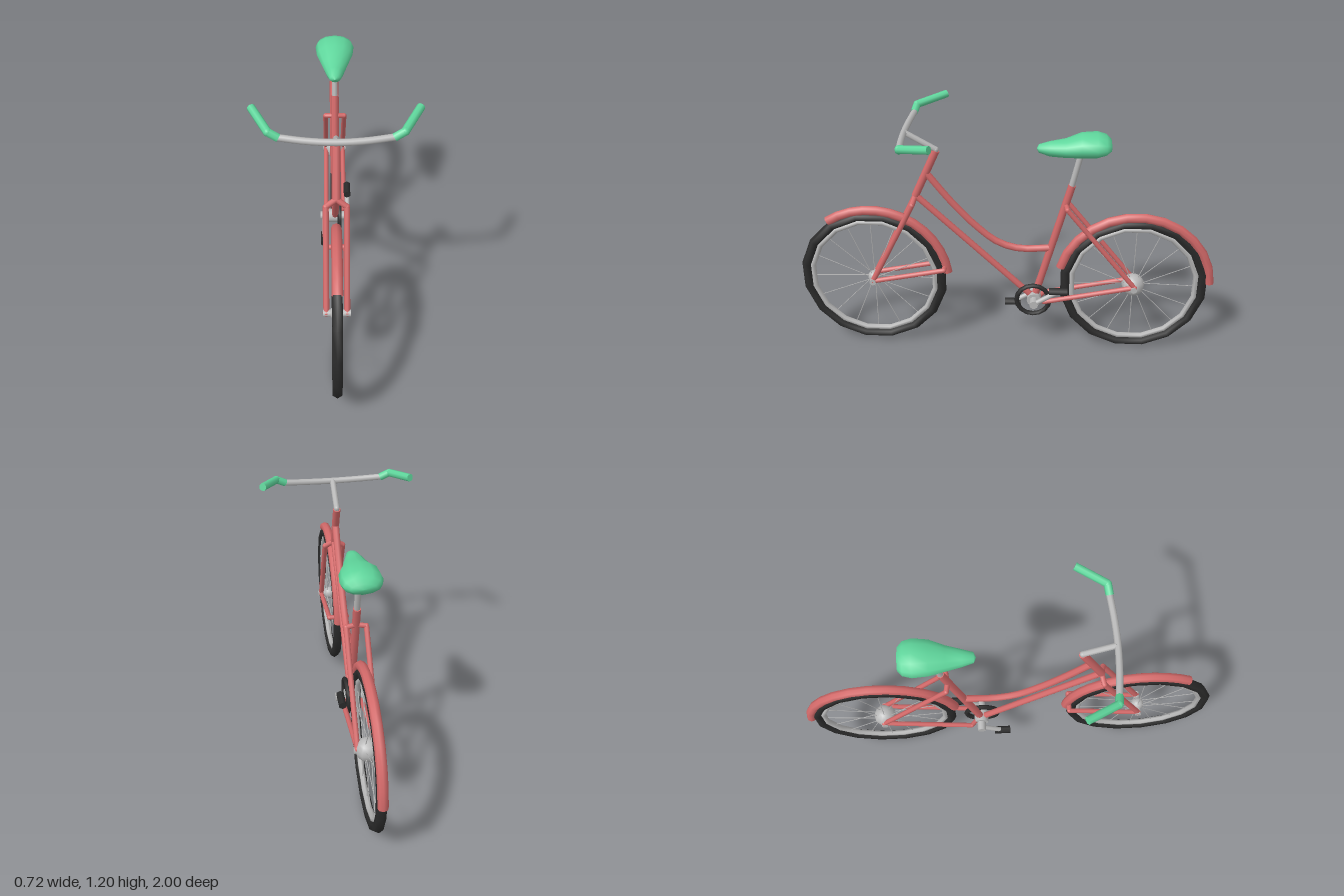
import * as THREE from 'three';

const mat = (name, color, side = THREE.FrontSide) => {
  const m = new THREE.MeshStandardMaterial({ color, side });
  m.name = name;
  return m;
};
const red = mat('frame red', 0xd46a6a, THREE.DoubleSide);
const green = mat('saddle green', 0x5fd69c);
const grey = mat('metal grey', 0xb9b9b9);
const black = mat('rubber black', 0x2b2b2b);

const v = (x, y, z) => new THREE.Vector3(x, y, z);

function add(parent, name, geometry, material) {
  const mesh = new THREE.Mesh(geometry, material);
  mesh.name = name;
  parent.add(mesh);
  return mesh;
}

// Straight round bar between two points
function rod(parent, name, a, b, r, material, sides = 8, rEnd = r) {
  const mesh = add(parent, name, new THREE.CylinderGeometry(rEnd, r, a.distanceTo(b), sides), material);
  mesh.position.copy(a).add(b).multiplyScalar(0.5);
  mesh.quaternion.setFromUnitVectors(v(0, 1, 0), b.clone().sub(a).normalize());
  return mesh;
}

function ball(parent, name, p, r, material) {
  const mesh = add(parent, name, new THREE.SphereGeometry(r, 10, 8), material);
  mesh.position.copy(p);
  return mesh;
}

// Bars through several points, with rounded corners
function bentRod(parent, name, points, r, material) {
  for (let i = 1; i < points.length; i++) {
    rod(parent, name, points[i - 1], points[i], r, material);
    if (i < points.length - 1) ball(parent, name + 'Bend', points[i], r, material);
  }
}

// Smoothly curved bar
function curvedRod(parent, name, points, r, material) {
  return add(parent, name, new THREE.TubeGeometry(new THREE.CatmullRomCurve3(points), 14, r, 8), material);
}

// Wheel with tyre, rim, spokes, hub and mudguard; angles run from the rear upwards
function wheel(name, y, z, hubRadius, guardStart, guardEnd) {
  const g = new THREE.Group();
  g.name = name;
  g.position.set(0, y, z);
  g.rotation.y = Math.PI / 2;
  const n = 16;
  add(g, 'tyre', new THREE.TorusGeometry(0.334, 0.024, 6, n), black).rotation.z = Math.PI / n;
  add(g, 'rim', new THREE.TorusGeometry(0.304, 0.014, 6, n), grey).rotation.z = Math.PI / n;
  for (let i = 0; i < n; i++) {
    const a = (i / n) * Math.PI * 2;
    rod(g, 'spoke', v(0, 0, i % 2 ? 0.015 : -0.015), v(Math.cos(a) * 0.3, Math.sin(a) * 0.3, 0), 0.002, grey, 4);
  }
  ball(g, 'hub', v(0, 0, 0), hubRadius, grey);
  rod(g, 'axle', v(0, 0, -0.06), v(0, 0, 0.06), 0.016, grey);
  const start = THREE.MathUtils.degToRad(guardStart);
  const arc = THREE.MathUtils.degToRad(guardEnd) - start;
  add(g, 'mudguard', new THREE.TorusGeometry(0.363, 0.023, 8, 12, arc), red).rotation.z = start;
  return g;
}

// Saddle lofted from oval sections: z, half width, bottom, top
function saddleGeometry() {
  const sections = [
    [-0.14, 0, 1.07, 1.07], [-0.15, 0.025, 1.052, 1.088], [-0.2, 0.04, 1.035, 1.103],
    [-0.27, 0.06, 1.033, 1.115], [-0.34, 0.084, 1.036, 1.142], [-0.41, 0.091, 1.04, 1.147],
    [-0.45, 0.08, 1.052, 1.135], [-0.472, 0.055, 1.07, 1.115], [-0.476, 0, 1.09, 1.09],
  ];
  const n = 12, pos = [], idx = [];
  sections.forEach(([z, w, lo, hi], s) => {
    for (let i = 0; i < n; i++) {
      const a = (i / n) * Math.PI * 2;
      pos.push(Math.cos(a) * w, (lo + hi) / 2 + Math.sin(a) * (hi - lo) / 2, z);
      if (s === sections.length - 1) continue;
      const p = s * n + i, q = s * n + (i + 1) % n;
      idx.push(p, p + n, q, q, p + n, q + n);
    }
  });
  const g = new THREE.BufferGeometry();
  g.setAttribute('position', new THREE.Float32BufferAttribute(pos, 3));
  g.setIndex(idx);
  g.computeVertexNormals();
  return g;
}

export function createModel() {
  const bike = new THREE.Group();
  bike.name = 'bicycle';

  bike.add(wheel('frontWheel', 0.375, 0.643, 0.032, 6, 124));
  bike.add(wheel('rearWheel', 0.367, -0.618, 0.055, 3, 166));

  // Main frame
  const bottom = v(0, 0.278, -0.14);
  const crown = v(0, 0.82, 0.42);
  rod(bike, 'headTube', crown, v(0, 1.05, 0.315), 0.018, red);
  rod(bike, 'downTube', v(0, 0.82, 0.415), bottom, 0.016, red);
  rod(bike, 'seatTube', bottom, v(0, 0.89, -0.305), 0.018, red);
  curvedRod(bike, 'topTube', [
    v(0, 0.94, 0.365), v(0, 0.79, 0.25), v(0, 0.67, 0.14),
    v(0, 0.585, 0.035), v(0, 0.553, -0.07), v(0, 0.56, -0.21),
  ], 0.017, red);

  // Fork, mudguard stays, seat stays and chain stays on both sides
  for (const s of [-1, 1]) {
    const x = s * 0.045;
    const frontAxle = v(x, 0.375, 0.643);
    const rearAxle = v(x, 0.375, -0.62);
    bentRod(bike, 'forkBlade', [crown, v(x, 0.79, 0.432), frontAxle], 0.013, red);
    bentRod(bike, 'mudguardStay', [frontAxle, v(x, 0.445, 0.295), v(0, 0.445, 0.295)], 0.012, red);
    bentRod(bike, 'seatStay', [rearAxle, v(x, 0.785, -0.287), v(0, 0.79, -0.28)], 0.012, red);
    bentRod(bike, 'chainStay', [rearAxle, v(x, 0.282, -0.19), v(0, 0.275, -0.15)], 0.012, red);
    ball(bike, 'frontDropout', frontAxle, 0.016, red);
    ball(bike, 'rearDropout', rearAxle, 0.015, red);
  }

  // Seat post and saddle
  rod(bike, 'seatPost', v(0, 0.88, -0.302), v(0, 1.07, -0.345), 0.014, grey);
  add(bike, 'saddle', saddleGeometry(), green);

  // Stem, handlebar and grips
  bentRod(bike, 'stem', [v(0, 1.03, 0.322), v(0, 1.055, 0.315), v(0, 1.135, 0.455)], 0.014, grey);
  curvedRod(bike, 'handlebar', [
    v(-0.24, 1.147, 0.438), v(-0.12, 1.137, 0.451), v(0, 1.133, 0.456),
    v(0.12, 1.137, 0.451), v(0.24, 1.147, 0.438),
  ], 0.015, grey);
  for (const s of [-1, 1]) {
    bentRod(bike, 'grip', [
      v(s * 0.23, 1.145, 0.44), v(s * 0.272, 1.168, 0.432), v(s * 0.345, 1.198, 0.296),
    ], 0.018, green);
  }

  // Crank axle, chainring, arms and pedals
  rod(bike, 'crankAxle', v(-0.074, 0.278, -0.14), v(0.074, 0.278, -0.14), 0.021, grey, 10);
  rod(bike, 'bottomBracket', v(-0.03, 0.278, -0.14), v(0.03, 0.278, -0.14), 0.035, grey, 12);
  const ring = add(bike, 'chainring', new THREE.TorusGeometry(0.08, 0.012, 6, 16), black);
  ring.position.set(0.022, 0.278, -0.135);
  ring.rotation.y = Math.PI / 2;
  rod(bike, 'leftCrankArm', v(0.062, 0.278, -0.14), v(0.062, 0.35, -0.255), 0.012, grey);
  rod(bike, 'rightCrankArm', v(-0.055, 0.278, -0.14), v(-0.055, 0.215, -0.035), 0.012, grey);
  rod(bike, 'leftPedal', v(0.062, 0.353, -0.3), v(0.062, 0.353, -0.212), 0.019, black, 6);
  rod(bike, 'rightPedal', v(-0.055, 0.215, -0.075), v(-0.055, 0.215, 0.005), 0.019, black, 6);

  return bike;
}
